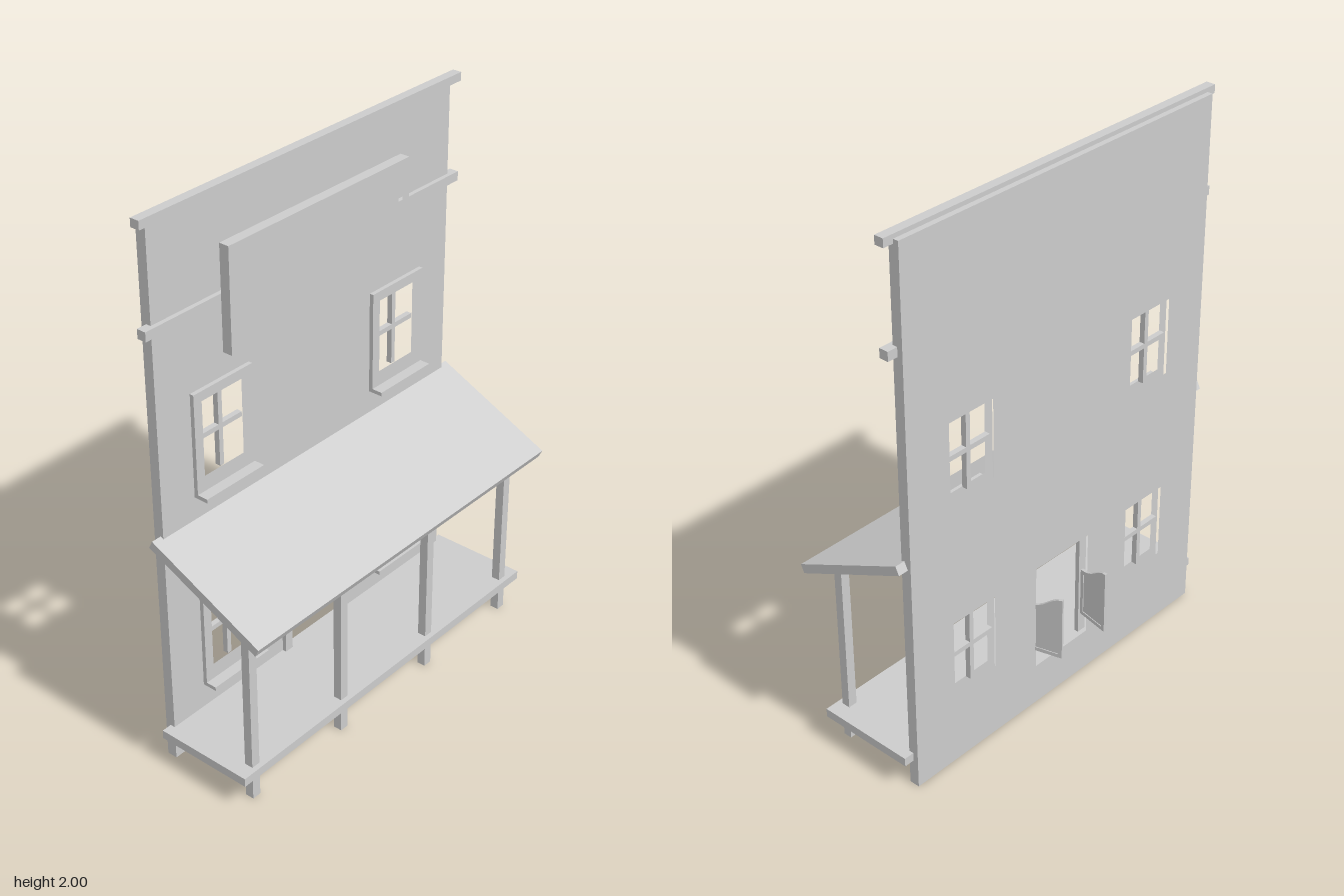
import * as THREE from 'three';

const material = new THREE.MeshStandardMaterial({ color: 0xcccccc, flatShading: true });
const HALF = 0.745; // half length of porch and trim

function add(parent, name, geometry) {
  const mesh = new THREE.Mesh(geometry, material);
  mesh.name = name;
  parent.add(mesh);
  return mesh;
}

// Box given by its limits on each axis
function box(parent, name, [x0, x1], [y0, y1], [z0, z1]) {
  const mesh = add(parent, name, new THREE.BoxGeometry(x1 - x0, y1 - y0, z1 - z0));
  mesh.position.set((x0 + x1) / 2, (y0 + y1) / 2, (z0 + z1) / 2);
  return mesh;
}

function rect(Type, [z0, z1], [y0, y1]) {
  return new Type([[z0, y0], [z1, y0], [z1, y1], [z0, y1]].map(([z, y]) => new THREE.Vector2(-z, y)));
}

// Upright slab in the z-y plane with rectangular openings, thick along x
function slab(parent, name, [x0, x1], zs, ys, openings) {
  const shape = rect(THREE.Shape, zs, ys);
  for (const [oz, oy] of openings) shape.holes.push(rect(THREE.Path, oz, oy));
  const geometry = new THREE.ExtrudeGeometry(shape, { depth: x1 - x0, bevelEnabled: false });
  geometry.rotateY(Math.PI / 2).translate(x0, 0, 0);
  return add(parent, name, geometry);
}

// Window trim, glazing bars and sill; y is the bottom of the opening
function addWindow(parent, z, y) {
  const group = new THREE.Group();
  group.name = 'window';
  slab(group, 'windowFrame', [-0.143, -0.127], [z - 0.132, z + 0.132], [y - 0.045, y + 0.32],
    [[[z - 0.097, z + 0.097], [y, y + 0.285]]]);
  box(group, 'verticalBar', [-0.165, -0.145], [y, y + 0.285], [z - 0.009, z + 0.009]);
  box(group, 'horizontalBar', [-0.165, -0.145], [y + 0.135, y + 0.153], [z - 0.097, z + 0.097]);
  box(group, 'windowSill', [-0.143, -0.087], [y - 0.056, y - 0.042], [z - 0.132, z + 0.132]);
  parent.add(group);
}

// Outline of a swing door leaf, hinge at 0, with a swept top edge
function leafOutline(Type, inset) {
  const a = inset, b = 0.132 - inset, bottom = 0.228 + inset;
  const path = new Type();
  path.moveTo(a, bottom);
  path.lineTo(b, bottom);
  path.lineTo(b, 0.47 - inset);
  path.bezierCurveTo(0.085, 0.47 - inset, 0.07, 0.415 - inset, a, 0.415 - inset);
  path.closePath();
  return path;
}

function addDoor(parent, side, x, z, angle) {
  const group = new THREE.Group();
  group.name = 'swingDoor';
  const border = leafOutline(THREE.Shape, 0);
  border.holes.push(leafOutline(THREE.Path, 0.014));
  const parts = [['doorBorder', border, 0.011], ['doorPanel', leafOutline(THREE.Shape, 0.013), 0.005]];
  for (const [name, shape, depth] of parts) {
    const geometry = new THREE.ExtrudeGeometry(shape, { depth, bevelEnabled: false, curveSegments: 8 });
    geometry.translate(0, 0, -depth / 2);
    add(group, name, geometry);
  }
  group.position.set(x, 0, z);
  // Leaf swings back through the doorway, tip leaning inwards
  group.rotation.y = Math.PI + side * -angle;
  group.rotation.y = Math.PI - side * angle;
  parent.add(group);
}

export function createModel() {
  const model = new THREE.Group();
  model.name = 'falseFrontBuilding';

  // Front wall with window and door openings
  const windows = [];
  for (const z of [-0.43, 0.43]) for (const y of [0.28, 1.03]) windows.push([z, y]);
  const openings = windows.map(([z, y]) => [[z - 0.097, z + 0.097], [y, y + 0.285]]);
  openings.push([[-0.132, 0.132], [0.13, 0.565]]);
  slab(model, 'wall', [-0.18, -0.142], [-0.707, 0.707], [0, 1.985], openings);
  windows.forEach(([z, y]) => addWindow(model, z, y));

  // Doorway trim
  for (const s of [-1, 1]) {
    box(model, 'doorPost', [-0.143, -0.127], [0.13, 0.6], s > 0 ? [0.132, 0.167] : [-0.167, -0.132]);
  }
  box(model, 'doorHeader', [-0.143, -0.127], [0.565, 0.6], [-0.132, 0.132]);

  // Swing doors, standing open
  addDoor(model, 1, -0.16, 0.128, 0.2);
  addDoor(model, -1, -0.148, -0.139, 0.26);

  // Horizontal trim
  box(model, 'cornice', [-0.16, -0.126], [1.97, 2], [-HALF, HALF]);
  box(model, 'trimBand', [-0.16, -0.126], [1.612, 1.645], [-HALF, HALF]);

  // Blank sign board with raised border
  slab(model, 'signBorder', [-0.124, -0.087], [-0.428, 0.428], [1.445, 1.815],
    [[[-0.395, 0.395], [1.478, 1.782]]]);
  box(model, 'signPanel', [-0.124, -0.104], [1.478, 1.782], [-0.395, 0.395]);

  // Porch deck and posts
  box(model, 'deck', [-0.16, 0.21], [0.1, 0.132], [-HALF, HALF]);
  for (const z of [-0.672, -0.232, 0.228, 0.672]) {
    box(model, 'porchPost', [0.159, 0.191], [0, 0.7], [z - 0.017, z + 0.017]);
  }

  // Sloping porch roof
  const profile = [[-0.168, 0.867], [0.272, 0.662], [0.286, 0.691], [-0.154, 0.896]];
  const roof = new THREE.ExtrudeGeometry(
    new THREE.Shape(profile.map(([x, y]) => new THREE.Vector2(x, y))),
    { depth: 2 * HALF, bevelEnabled: false });
  add(model, 'porchRoof', roof.translate(0, 0, -HALF));

  return model;
}
